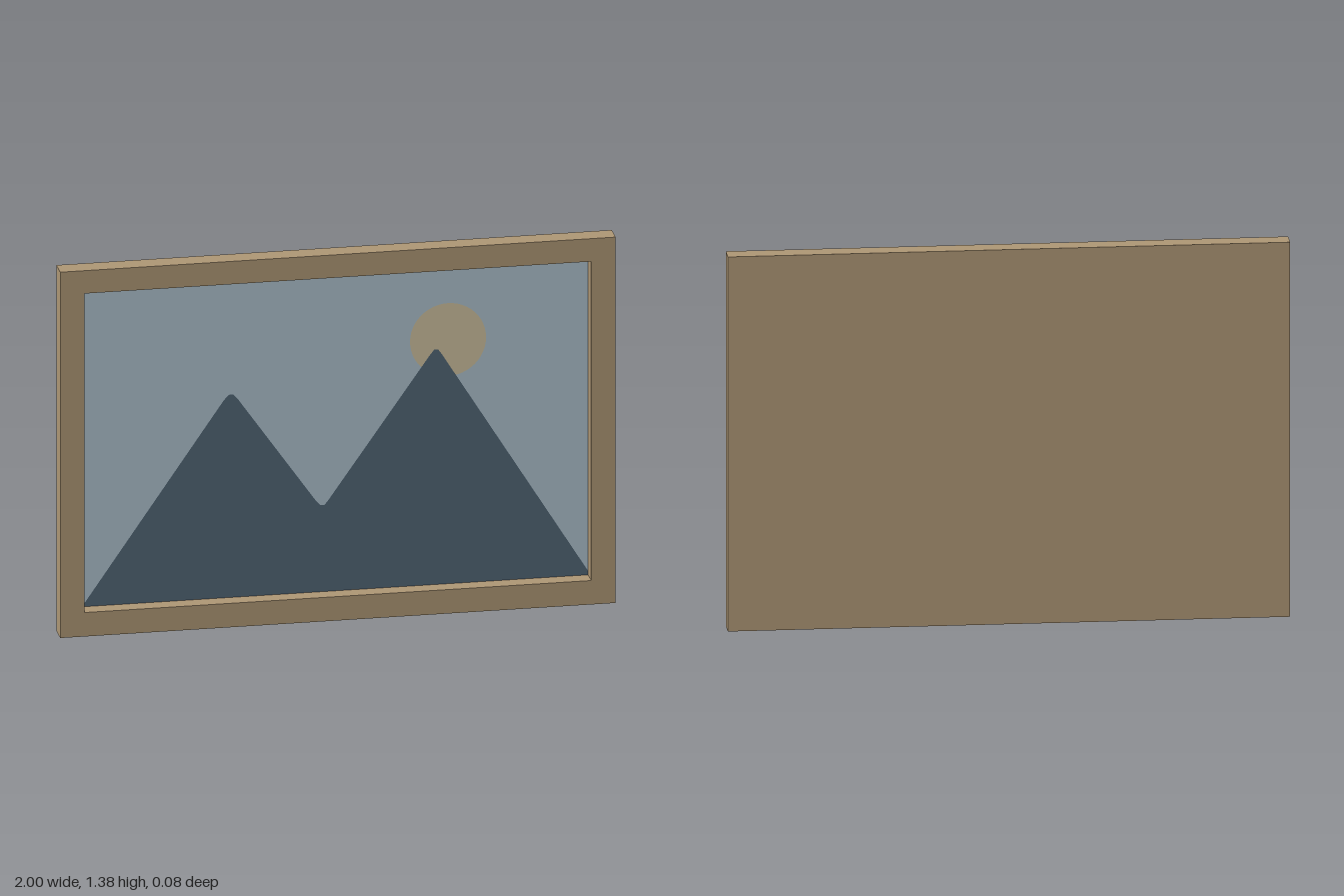
import * as THREE from 'three';

const W = 1, H = 1.375, D = 0.076;            // half width, height, depth
const IX = 0.912, IY0 = 0.09, IY1 = 1.289;    // picture opening
const PANEL_Z = -0.024;                       // recessed picture surface

const material = (name, color) => {
  const m = new THREE.MeshStandardMaterial({ color });
  m.name = name;
  return m;
};

const polygon = (points) => new THREE.Shape(points.map(([x, y]) => new THREE.Vector2(x, y)));
const rectangle = (x0, y0, x1, y1) => polygon([[x0, y0], [x1, y0], [x1, y1], [x0, y1]]);

export function createModel() {
  const group = new THREE.Group();
  group.name = 'framedPicture';

  const wood = material('tan wood', 0xae9775);
  const skyBlue = material('pale sky blue', 0xadc1cd);
  const slate = material('slate blue', 0x516575);
  const sand = material('pale sand', 0xccc09f);

  const add = (name, geometry, mat, z) => {
    const mesh = new THREE.Mesh(geometry, mat);
    mesh.name = name;
    mesh.position.z = z;
    group.add(mesh);
    return mesh;
  };

  // Frame border with the picture opening cut out
  const border = rectangle(-W, 0, W, H);
  border.holes.push(rectangle(-IX, IY0, IX, IY1));
  add('frame', new THREE.ExtrudeGeometry(border, { depth: D, bevelEnabled: false }), wood, -D / 2);

  // Backing board fills the opening, flush with the rear of the frame
  const backDepth = PANEL_Z + D / 2 - 0.002;
  add('backingBoard', new THREE.ExtrudeGeometry(rectangle(-IX, IY0, IX, IY1),
    { depth: backDepth, bevelEnabled: false }), wood, -D / 2);

  // Painted layers, from far to near
  add('sky', new THREE.ShapeGeometry(rectangle(-IX, IY0, IX, IY1)), skyBlue, PANEL_Z - 0.001);
  const sun = add('sun', new THREE.CircleGeometry(0.137, 48), sand, PANEL_Z);
  sun.position.set(0.408, 1.007, PANEL_Z);

  // Mountain range with softly blunted peaks and valley
  const range = polygon([
    [-IX, IY0], [IX, IY0], [IX, 0.105],
    [0.385, 0.955], [0.372, 0.973], [0.358, 0.973], [0.34, 0.95],
    [-0.025, 0.43], [-0.038, 0.415], [-0.052, 0.415], [-0.068, 0.433],
    [-0.35, 0.835], [-0.365, 0.852], [-0.382, 0.852], [-0.4, 0.832],
    [-0.9, 0.105], [-IX, 0.098],
  ]);
  add('mountains', new THREE.ShapeGeometry(range), slate, PANEL_Z + 0.001);

  return group;
}
